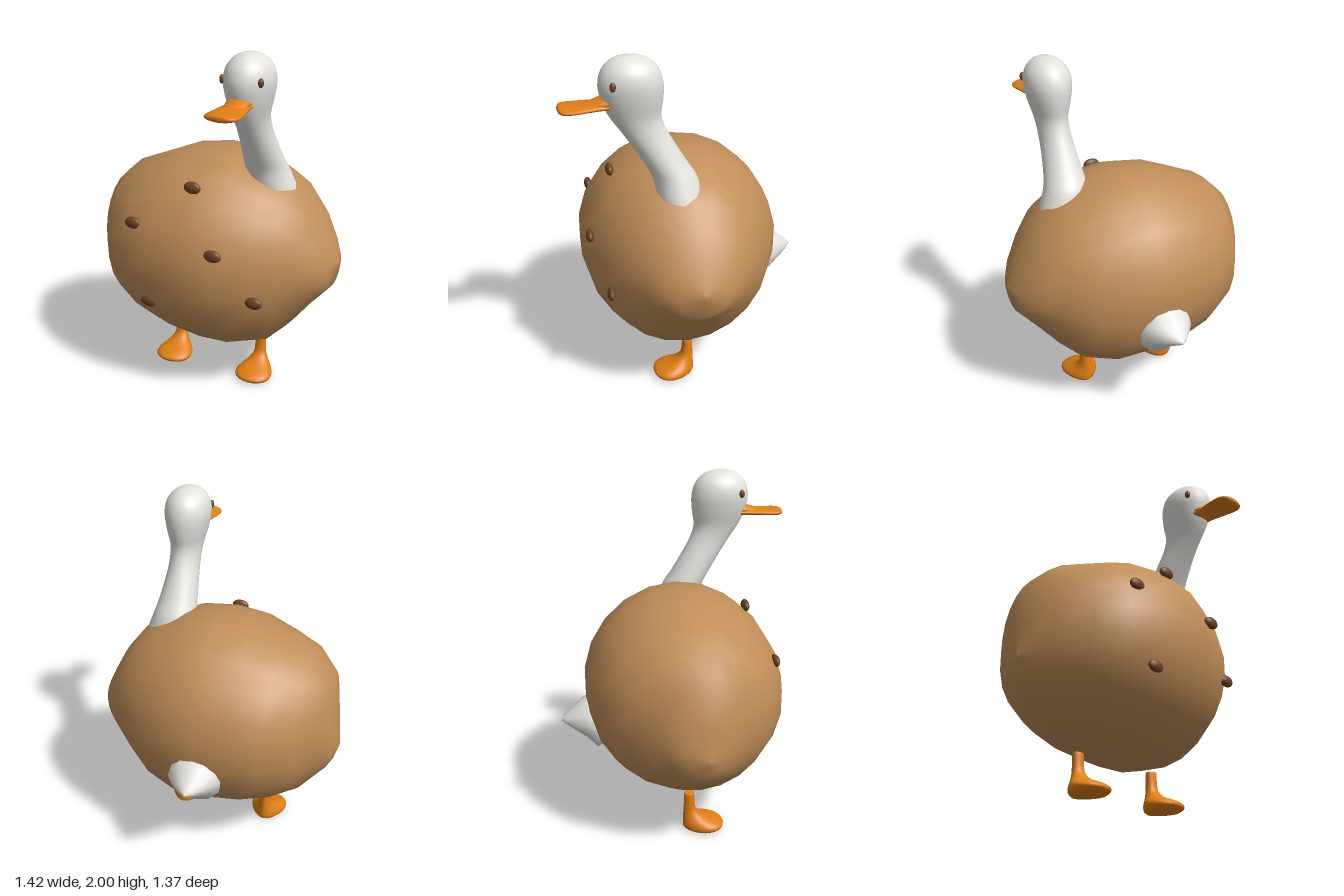
import * as THREE from 'three';

const mat = (name, color) => {
  const m = new THREE.MeshStandardMaterial({ color });
  m.name = name;
  return m;
};

// Skin a row of elliptical rings. Each ring is [t, uMin, uMax, vMin, vMax], with
// (u, v) = (y, z) along x, (z, x) along y, and (x, y) along z. taper narrows v at low u.
function loft(rings, axis, sides = 24, taper = 0) {
  const place = {
    x: (t, u, v) => [t, u, v],
    y: (t, u, v) => [v, t, u],
    z: (t, u, v) => [u, v, t],
  }[axis];
  const pos = [], index = [], n = rings.length;
  for (const [t, u0, u1, v0, v1] of rings) {
    for (let j = 0; j < sides; j++) {
      const a = (j / sides) * Math.PI * 2, c = Math.cos(a);
      const s = Math.sin(a) * (1 + taper * c);
      pos.push(...place(t, (u0 + u1) / 2 + c * (u1 - u0) / 2, (v0 + v1) / 2 + s * (v1 - v0) / 2));
    }
  }
  for (const [t, u0, u1, v0, v1] of [rings[0], rings[n - 1]]) {
    pos.push(...place(t, (u0 + u1) / 2, (v0 + v1) / 2));
  }
  const first = n * sides, last = first + 1;
  for (let j = 0; j < sides; j++) {
    const k = (j + 1) % sides;
    for (let i = 0; i < n - 1; i++) {
      const a = i * sides + j, b = i * sides + k;
      index.push(a, b, a + sides, b, b + sides, a + sides);
    }
    index.push(first, k, j, last, (n - 1) * sides + j, (n - 1) * sides + k);
  }
  const g = new THREE.BufferGeometry();
  g.setAttribute('position', new THREE.Float32BufferAttribute(pos, 3));
  g.setIndex(index);
  g.computeVertexNormals();
  return g;
}

// Insert smoothly interpolated rings between the given ones
function smooth(rings, steps = 3) {
  const curve = (i, j) => new THREE.CatmullRomCurve3(
    rings.map(r => new THREE.Vector3(r[0], r[i], r[j])), false, 'catmullrom', 0.5);
  const cu = curve(1, 2), cv = curve(3, 4), count = (rings.length - 1) * steps;
  return Array.from({ length: count + 1 }, (_, i) => {
    const p = cu.getPoint(i / count), q = cv.getPoint(i / count);
    return [p.x, p.y, p.z, q.y, q.z];
  });
}

export function createModel() {
  const model = new THREE.Group();
  const potato = mat('potatoSkin', 0xc08e58);
  const white = mat('whiteFeathers', 0xe4e3de);
  const orange = mat('orangeBill', 0xe07f12);
  const brown = mat('darkBrown', 0x6b4426);

  const add = (name, geometry, material, x = 0, y = 0, z = 0) => {
    const m = new THREE.Mesh(geometry, material);
    m.name = name;
    m.position.set(x, y, z);
    model.add(m);
    return m;
  };
  const blob = (name, x, y, z, rx, ry, rz) =>
    add(name, new THREE.SphereGeometry(1, 16, 12), brown, x, y, z).scale.set(rx, ry, rz);

  // Lumpy potato body, lofted along x
  add('body', loft([
    [-0.715, 0.655, 0.68, 0.01, 0.03],
    [-0.69, 0.58, 0.85, -0.11, 0.13],
    [-0.65, 0.51, 1.12, -0.21, 0.25],
    [-0.53, 0.40, 1.235, -0.39, 0.42],
    [-0.37, 0.32, 1.30, -0.49, 0.52],
    [-0.20, 0.265, 1.37, -0.535, 0.57],
    [0.0, 0.235, 1.40, -0.545, 0.582],
    [0.17, 0.235, 1.385, -0.53, 0.565],
    [0.35, 0.29, 1.30, -0.44, 0.49],
    [0.46, 0.40, 1.24, -0.365, 0.415],
    [0.57, 0.54, 1.10, -0.27, 0.31],
    [0.64, 0.62, 0.97, -0.19, 0.23],
    [0.685, 0.67, 0.88, -0.11, 0.14],
    [0.71, 0.79, 0.82, 0.0, 0.03],
  ], 'x', 22), potato);

  // Neck and head in one smooth skin
  add('neckAndHead', loft(smooth([
    [1.15, -0.08, 0.18, 0.20, 0.49],
    [1.24, -0.05, 0.195, 0.19, 0.462],
    [1.33, -0.025, 0.21, 0.187, 0.43],
    [1.40, 0.02, 0.245, 0.193, 0.412],
    [1.50, 0.08, 0.305, 0.205, 0.395],
    [1.60, 0.135, 0.37, 0.214, 0.386],
    [1.68, 0.16, 0.425, 0.208, 0.392],
    [1.76, 0.15, 0.462, 0.187, 0.413],
    [1.85, 0.147, 0.48, 0.171, 0.429],
    [1.92, 0.167, 0.464, 0.181, 0.419],
    [1.965, 0.205, 0.428, 0.212, 0.388],
    [1.99, 0.255, 0.385, 0.25, 0.35],
    [2.0, 0.315, 0.325, 0.295, 0.305],
  ]), 'y', 28), white);

  // Flat bill: a wide spoon with a small ridge at its root
  add('bill', loft(smooth([
    [0.38, 0.235, 0.365, 1.73, 1.775],
    [0.46, 0.23, 0.37, 1.73, 1.772],
    [0.54, 0.217, 0.383, 1.729, 1.768],
    [0.61, 0.208, 0.392, 1.726, 1.765],
    [0.655, 0.215, 0.385, 1.725, 1.765],
    [0.678, 0.24, 0.36, 1.73, 1.763],
    [0.686, 0.285, 0.315, 1.74, 1.755],
  ]), 'z', 24), orange);
  add('billRidge', loft(smooth([
    [0.38, 0.232, 0.368, 1.735, 1.805],
    [0.45, 0.235, 0.365, 1.735, 1.798],
    [0.50, 0.245, 0.355, 1.735, 1.782],
    [0.57, 0.27, 0.33, 1.735, 1.764],
  ]), 'z', 20), orange);

  // Eyes
  for (const s of [-1, 1]) blob('eye', 0.3 + s * 0.104, 1.872, 0.418, 0.014, 0.024, 0.016);

  // Potato eyes dotted over the chest
  for (const [x, y, z] of [
    [-0.31, 1.04, 0.49], [0.01, 1.265, 0.40], [0.20, 0.965, 0.545],
    [0.40, 0.70, 0.465], [-0.21, 0.60, 0.515],
  ]) blob('spot', x, y, z, 0.05, 0.034, 0.022);

  // Legs flowing into wide webbed feet
  const foot = loft(smooth([
    [0.005, -0.01, 0.185, -0.085, 0.085],
    [0.02, -0.025, 0.207, -0.102, 0.102],
    [0.04, -0.028, 0.208, -0.104, 0.104],
    [0.062, -0.028, 0.17, -0.088, 0.088],
    [0.09, -0.027, 0.10, -0.058, 0.058],
    [0.13, -0.025, 0.052, -0.036, 0.036],
    [0.18, -0.023, 0.04, -0.031, 0.031],
    [0.235, -0.022, 0.038, -0.03, 0.03],
    [0.243, -0.016, 0.032, -0.025, 0.025],
  ]), 'y', 24, 0.25);
  for (const x of [-0.285, 0.253]) add('leg', foot, orange, x);

  // Pointed tail tuft
  add('tail', loft([
    [-0.685, -0.022, -0.008, 0.645, 0.665],
    [-0.66, -0.06, 0.03, 0.628, 0.685],
    [-0.61, -0.105, 0.08, 0.59, 0.725],
    [-0.55, -0.15, 0.13, 0.545, 0.772],
    [-0.49, -0.165, 0.145, 0.475, 0.80],
    [-0.40, -0.15, 0.13, 0.52, 0.79],
  ], 'z', 12), white);

  return model;
}
